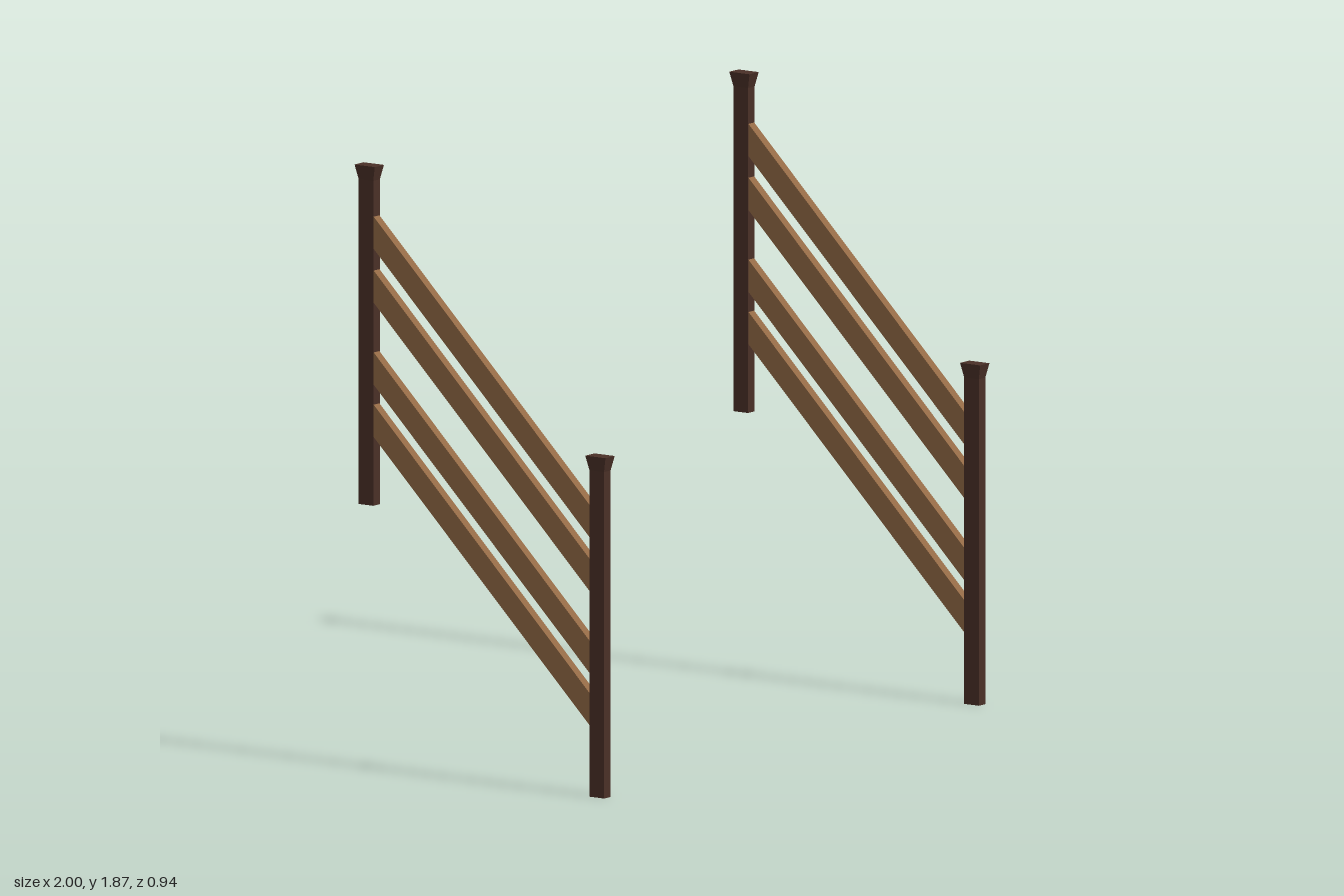
import * as THREE from 'three';

const darkWood = new THREE.MeshStandardMaterial({ color: 0x4a3027 });
darkWood.name = 'dark wood';
const lightWood = new THREE.MeshStandardMaterial({ color: 0x936a45 });
lightWood.name = 'light wood';

const RISE = 0.81;        // height gained from the front post to the back post
const POST_Z = 0.434;
const SIDE_X = 0.976;

function add(parent, name, geometry, material, x, y, z) {
  const mesh = new THREE.Mesh(geometry, material);
  mesh.name = name;
  mesh.position.set(x, y, z);
  parent.add(mesh);
}

// Square post with a flared, flat-topped cap
function makePost(name, bottom, top, z) {
  const post = new THREE.Group();
  post.name = name;
  const capHeight = 0.045;
  const shaftHeight = top - capHeight - bottom;
  add(post, 'postShaft', new THREE.BoxGeometry(0.034, shaftHeight, 0.055), darkWood,
    0, bottom + shaftHeight / 2, z);

  const cap = new THREE.BoxGeometry(0.048, capHeight, 0.076);
  const p = cap.attributes.position;
  for (let i = 0; i < p.count; i++) {
    if (p.getY(i) < 0) {
      p.setX(i, Math.sign(p.getX(i)) * 0.017);
      p.setZ(i, Math.sign(p.getZ(i)) * 0.0275);
    }
  }
  cap.computeVertexNormals();
  add(post, 'postCap', cap, darkWood, 0, top - capHeight / 2, z);
  return post;
}

// Sloping rail with upright ends: a box sheared upward toward the back
function makeRailGeometry() {
  const halfLength = 0.42;
  const rail = new THREE.BoxGeometry(0.03, 0.1, halfLength * 2);
  const p = rail.attributes.position;
  for (let i = 0; i < p.count; i++) {
    p.setY(i, p.getY(i) - p.getZ(i) * RISE / 0.815);
  }
  rail.computeVertexNormals();
  return rail;
}

function makeRailing(name, x) {
  const railing = new THREE.Group();
  railing.name = name;
  railing.add(makePost('frontPost', 0, 1.057, POST_Z));
  railing.add(makePost('backPost', 0.815, 1.867, -POST_Z));
  // Two pairs of rails, heights given at mid span
  const rail = makeRailGeometry();
  [1.257, 1.09, 0.836, 0.674].forEach((y, i) => add(railing, 'rail' + (i + 1), rail, lightWood, 0, y, 0));
  railing.position.x = x;
  return railing;
}

export function createModel() {
  const model = new THREE.Group();
  model.name = 'stairRailings';
  model.add(makeRailing('leftRailing', SIDE_X), makeRailing('rightRailing', -SIDE_X));
  return model;
}
